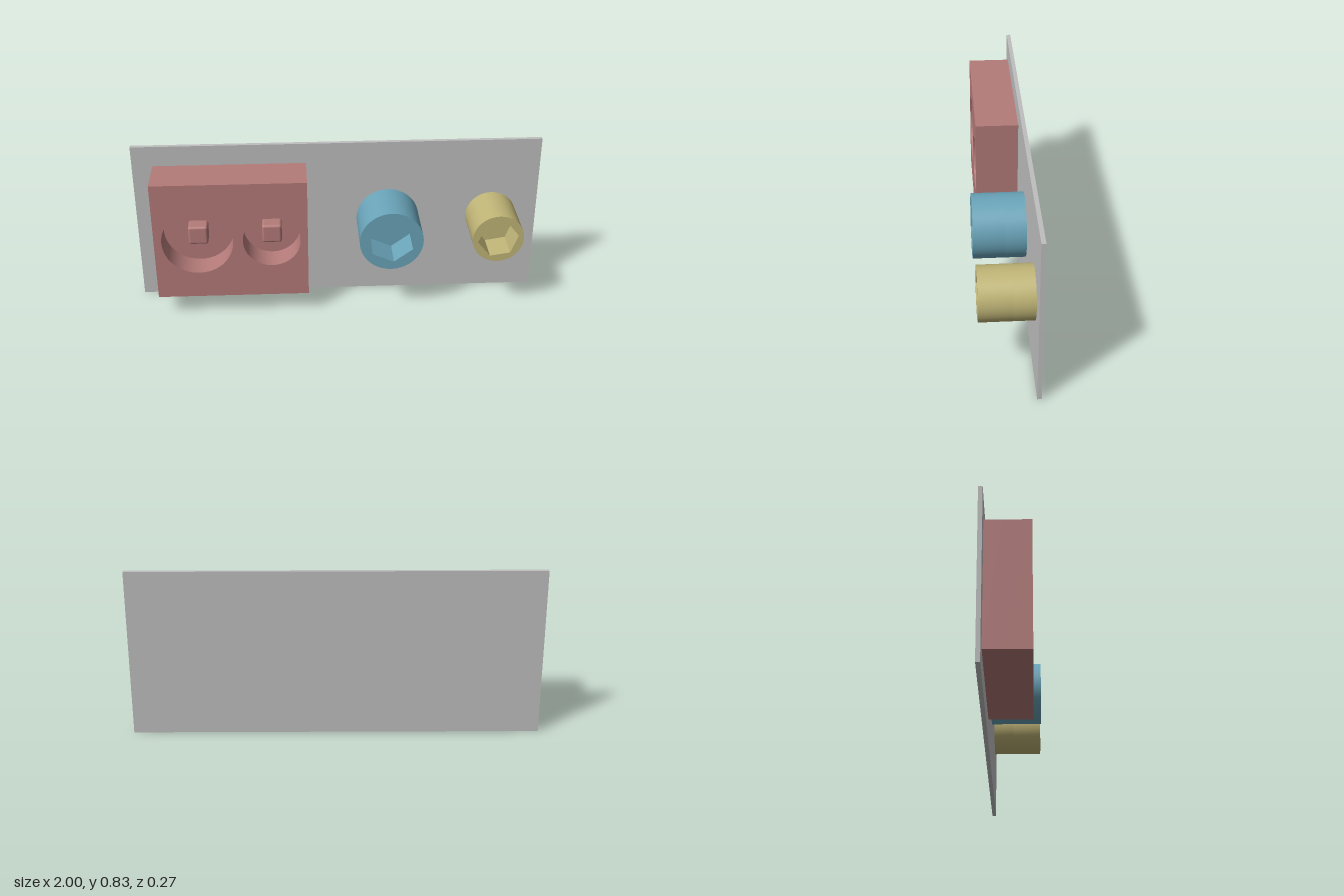
import * as THREE from 'three';
import { toCreasedNormals } from 'three/addons/utils/BufferGeometryUtils.js';
import { RoundedBoxGeometry } from 'three/addons/geometries/RoundedBoxGeometry.js';

const PLATE_FRONT = -0.115;
const MID_Y = 0.416;

function material(name, color) {
  const m = new THREE.MeshStandardMaterial({ color });
  m.name = name;
  return m;
}

function circle(x, y, r, Type = THREE.Shape) {
  const s = new Type();
  s.absarc(x, y, r, 0, Math.PI * 2, false);
  return s;
}

function hexagon(x, y, r, degrees) {
  const points = [];
  for (let i = 0; i < 6; i++) {
    const a = THREE.MathUtils.degToRad(degrees + i * 60);
    points.push(new THREE.Vector2(x + r * Math.cos(a), y + r * Math.sin(a)));
  }
  return new THREE.Path(points);
}

function rectangle(x0, y0, x1, y1) {
  return new THREE.Shape([
    new THREE.Vector2(x0, y0), new THREE.Vector2(x1, y0),
    new THREE.Vector2(x1, y1), new THREE.Vector2(x0, y1),
  ]);
}

export function createModel() {
  const model = new THREE.Group();
  model.name = 'socketPanel';
  const grey = material('panel grey', 0xbfbfbf);
  const red = material('dusty red', 0xb47b79);
  const blue = material('soft blue', 0x6aa4b9);
  const yellow = material('muted yellow', 0xc0b577);

  function add(name, geometry, mat, parent = model) {
    const mesh = new THREE.Mesh(geometry, mat);
    mesh.name = name;
    parent.add(mesh);
    return mesh;
  }

  function extrude(makeShape, holes, z0, z1) {
    const shape = makeShape();
    shape.holes.push(...holes);
    const g = new THREE.ExtrudeGeometry(shape, { depth: z1 - z0, bevelEnabled: false, curveSegments: 32 });
    g.translate(0, 0, z0);
    return toCreasedNormals(g, 0.6);
  }

  // A solid with blind holes: a pierced front on a closed base
  function blindSolid(name, makeShape, holes, floorZ, frontZ, mat) {
    const group = new THREE.Group();
    group.name = name;
    add(name + 'Base', extrude(makeShape, [], PLATE_FRONT, floorZ), mat, group);
    add(name + 'Front', extrude(makeShape, holes, floorZ, frontZ), mat, group);
    model.add(group);
    return group;
  }

  // Back plate
  add('backPlate', new THREE.BoxGeometry(2, 0.83, 0.02), grey).position.set(0, 0.415, -0.125);

  // Block with two round recesses, each holding a soft-edged peg
  const recesses = [[-0.69, 0.173], [-0.33, 0.14]];
  const floorZ = -0.035;
  const block = blindSolid('block', () => rectangle(-0.9, 0.106, -0.155, 0.727),
    recesses.map(([x, r]) => circle(x, MID_Y, r, THREE.Path)), floorZ, 0.095, red);
  for (const [x] of recesses) {
    add('peg', new RoundedBoxGeometry(0.096, 0.096, 0.096, 3, 0.012), red, block)
      .position.set(x, MID_Y, -0.013);
  }

  // Round posts with hexagonal sockets
  blindSolid('largePost', () => circle(0.25, MID_Y, 0.155),
    [hexagon(0.25, MID_Y, 0.114, 36.5)], -0.015, 0.135, blue);
  blindSolid('smallPost', () => circle(0.77, MID_Y, 0.125),
    [hexagon(0.77, MID_Y, 0.1, 9)], -0.015, 0.135, yellow);

  return model;
}
